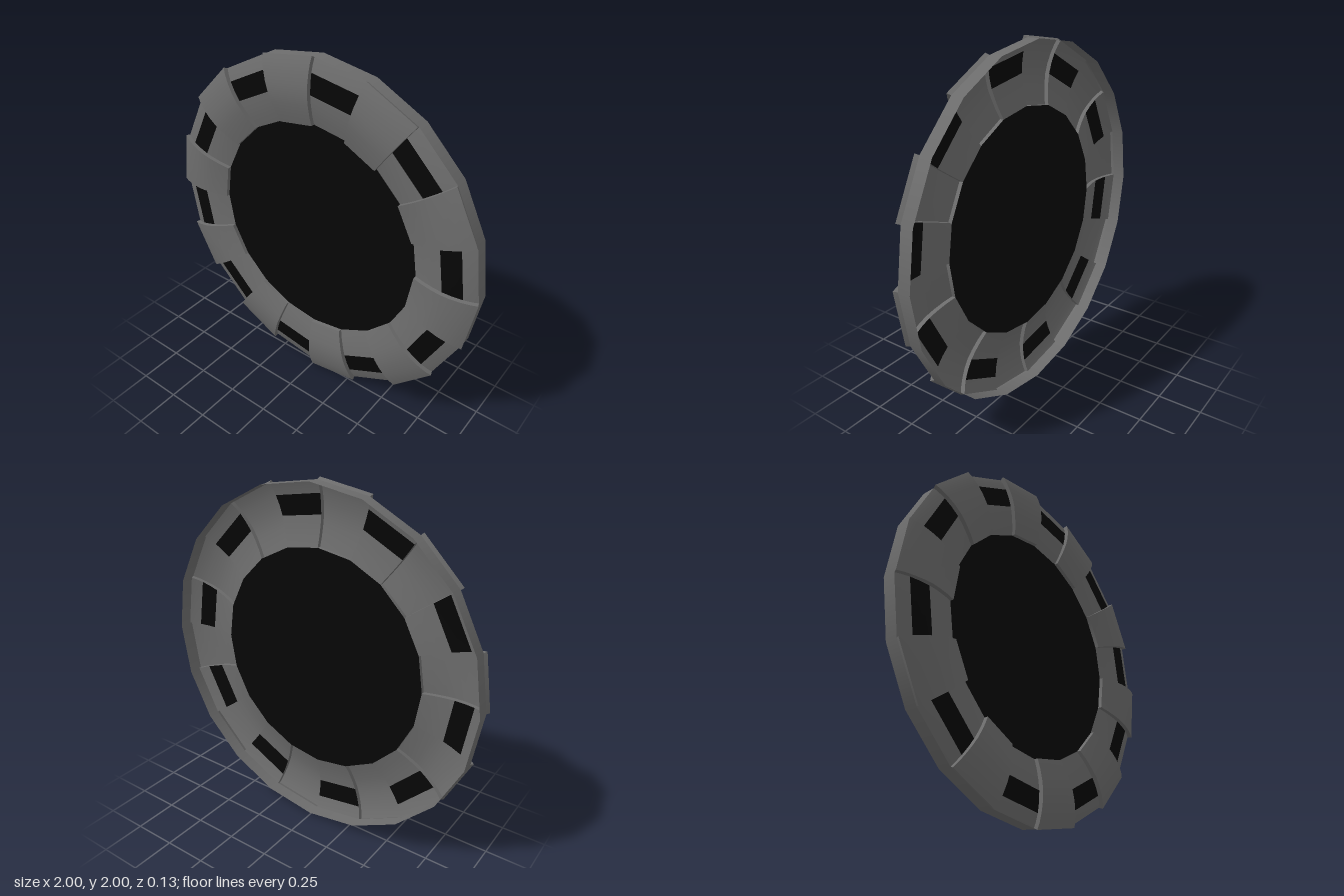
import * as THREE from 'three';
import { mergeGeometries } from 'three/addons/utils/BufferGeometryUtils.js';

const SIDES = 20;
const STEP = (Math.PI * 2) / SIDES;

const grey = new THREE.MeshStandardMaterial({ color: 0x6c6c6c, side: THREE.DoubleSide });
const black = new THREE.MeshStandardMaterial({ color: 0x060606, side: THREE.DoubleSide });

// Cross-sections as [radius, z], from the outer edge to the inner edge
const WALL = [[0.99, -0.067], [0.99, 0.006]];
const LIP = [[0.99, 0.006], [0.96, 0.019], [0.92, 0.031]];
const SLOT = [[0.92, 0.031], [0.865, 0.039], [0.81, 0.041]];
const FLOOR = [[0.81, 0.041], [0.76, 0.036], [0.7, 0.025], [0.645, 0.01]];
const TILE = [[1.0, 0.028], [0.965, 0.043], [0.92, 0.055], [0.865, 0.064],
  [0.81, 0.066], [0.76, 0.06], [0.7, 0.048], [0.645, 0.032]];
const BASE = [...LIP, ...SLOT.slice(1), ...FLOOR.slice(1)];

// Turn a cross-section to an angle around the ring
const at = (profile, angle) =>
  profile.map(([r, z]) => [r * Math.cos(angle), 1 + r * Math.sin(angle), z]);

// Surface between two rows of points
function loft(rowA, rowB) {
  const n = rowA.length;
  const index = [];
  for (let i = 0; i < n - 1; i++) index.push(i, n + i, i + 1, n + i, n + i + 1, i + 1);
  const g = new THREE.BufferGeometry();
  g.setAttribute('position', new THREE.Float32BufferAttribute([...rowA, ...rowB].flat(), 3));
  g.setIndex(index);
  g.computeVertexNormals();
  return g;
}

// One segment of the ring, with normals that run smoothly around it
function band(profile, k) {
  const a = k * STEP, b = a + STEP, n = profile.length;
  const g = loft(at(profile, a), at(profile, b));
  profile.forEach((p, i) => {
    const prev = profile[Math.max(i - 1, 0)], next = profile[Math.min(i + 1, n - 1)];
    const out = new THREE.Vector2(next[1] - prev[1], prev[0] - next[0]).normalize();
    [a, b].forEach((t, row) => g.attributes.normal.setXYZ(
      row * n + i, out.x * Math.cos(t), out.x * Math.sin(t), out.y));
  });
  return g;
}

function addMesh(group, name, geometries, material) {
  const mesh = new THREE.Mesh(mergeGeometries(geometries), material);
  mesh.name = name;
  group.add(mesh);
}

export function createModel() {
  const group = new THREE.Group();
  group.name = 'segmentedRing';
  const walls = [], floors = [], slots = [], tiles = [];

  for (let k = 0; k < SIDES; k++) {
    walls.push(band(WALL, k));
    if (k % 2 === 0) {
      // Recessed domed segment with a dark slot
      floors.push(band(LIP, k), band(FLOOR, k));
      slots.push(band(SLOT, k));
    } else {
      // Raised tile with its outer tip, inner end and two side steps
      const a = k * STEP, b = a + STEP;
      tiles.push(
        band(TILE, k),
        band([BASE[0], TILE[0]], k),
        band([TILE.at(-1), BASE.at(-1)], k),
        loft(at(BASE, a), at(TILE, a)),
        loft(at(TILE, b), at(BASE, b)),
      );
    }
  }
  addMesh(group, 'outerWall', walls, grey);
  addMesh(group, 'recessedSegments', floors, grey);
  addMesh(group, 'slots', slots, black);
  addMesh(group, 'raisedTiles', tiles, grey);

  // Dark centre disc
  const disc = new THREE.Mesh(new THREE.CircleGeometry(0.645, SIDES), black);
  disc.name = 'centreDisc';
  disc.position.set(0, 1, 0.01);
  group.add(disc);
  return group;
}
